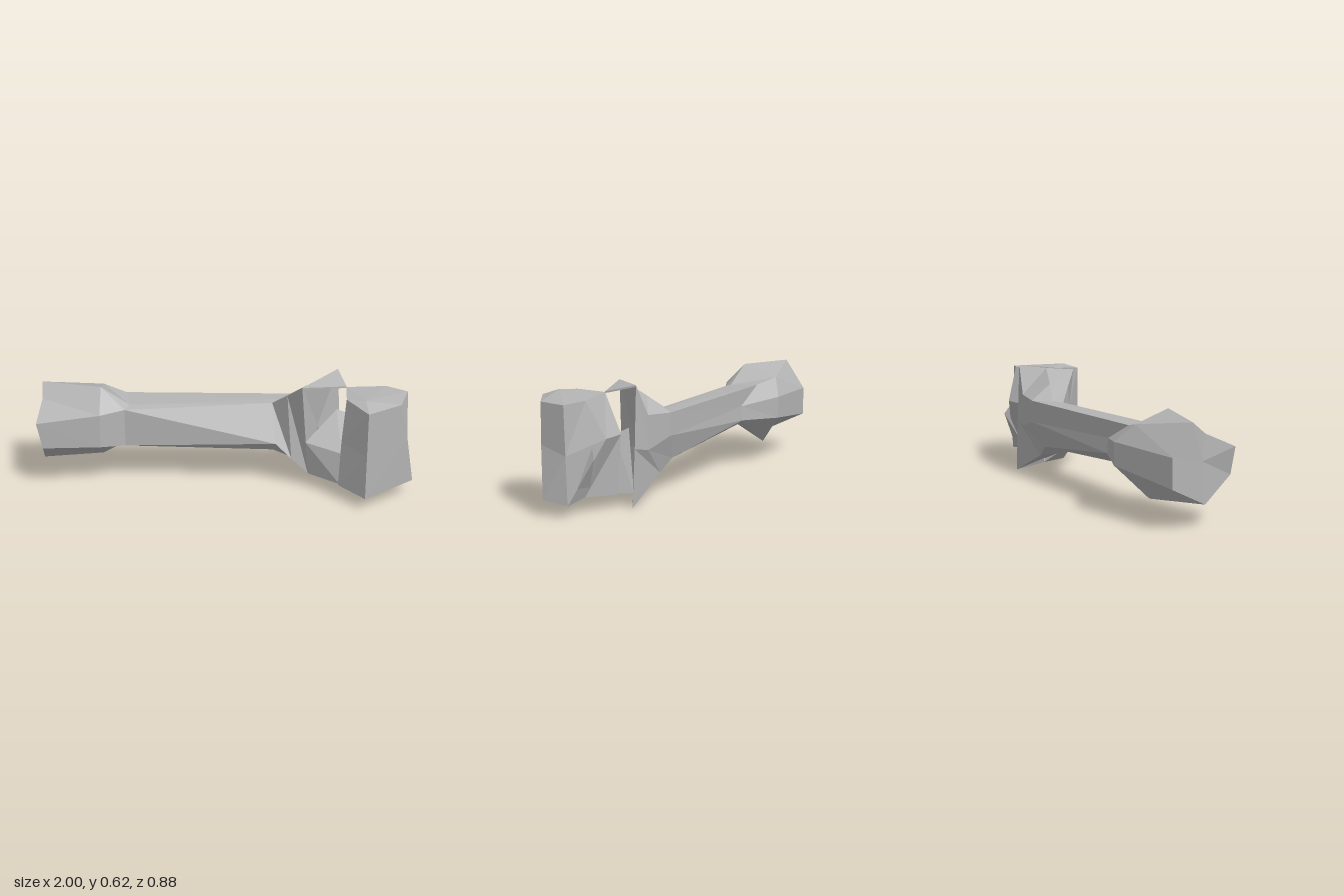
import * as THREE from 'three';

// Skin a list of equal-length rings; optional apex points close the two ends.
function loft(rings, startApex, endApex) {
  const pos = [];
  const tri = (a, b, c) => pos.push(...a, ...b, ...c);
  const centre = (r) => [0, 1, 2].map((k) => r.reduce((s, p) => s + p[k], 0) / r.length);
  const n = rings[0].length;
  const first = rings[0], last = rings[rings.length - 1];
  const start = startApex || centre(first), end = endApex || centre(last);
  for (let j = 0; j < n; j++) {
    const k = (j + 1) % n;
    for (let i = 0; i < rings.length - 1; i++) {
      const r = rings[i], s = rings[i + 1];
      tri(r[j], r[k], s[k]);
      tri(r[j], s[k], s[j]);
    }
    tri(first[k], first[j], start);
    tri(last[j], last[k], end);
  }
  const g = new THREE.BufferGeometry();
  g.setAttribute('position', new THREE.Float32BufferAttribute(pos, 3));
  g.computeVertexNormals();
  return g;
}

export function createModel() {
  const group = new THREE.Group();
  const grey = new THREE.MeshStandardMaterial({ color: 0xb4b4b4, flatShading: true, side: THREE.DoubleSide });
  grey.name = 'grey';
  const add = (name, ...args) => {
    const mesh = new THREE.Mesh(loft(...args), grey);
    mesh.name = name;
    group.add(mesh);
  };

  // Rings run: top back, top front, front upper, front lower, bottom, back lower, back upper
  const gripEnd = [[-0.95, 0.535, -0.325], [-0.955, 0.47, -0.24], [-1, 0.39, -0.07], [-0.97, 0.245, -0.07],
    [-0.96, 0.12, -0.24], [-0.93, 0.22, -0.44], [-0.93, 0.375, -0.44]];
  const gripMiddle = [[-0.61, 0.485, -0.37], [-0.64, 0.545, -0.17], [-0.66, 0.425, -0.05], [-0.66, 0.24, -0.05],
    [-0.63, 0.1, -0.29], [-0.51, 0.27, -0.42], [-0.51, 0.39, -0.42]];
  const shaftStart = [[-0.49, 0.455, -0.298], [-0.49, 0.445, -0.14], [-0.52, 0.43, -0.1], [-0.52, 0.22, -0.1],
    [-0.5, 0.215, -0.18], [-0.31, 0.28, -0.275], [-0.31, 0.36, -0.268]];
  const shaftEnd = [[0.43, 0.45, -0.15], [0.33, 0.45, -0.08], [0.285, 0.445, -0.045], [0.285, 0.25, 0.07],
    [0.28, 0.2, 0.03], [0.35, 0.195, -0.125], [0.43, 0.33, -0.15]];
  const collarMiddle = [[0.58, 0.46, -0.09], [0.43, 0.53, -0.017], [0.35, 0.52, 0.05], [0.37, 0.165, 0.09],
    [0.38, 0.137, -0.005], [0.43, 0.13, -0.09], [0.58, 0.28, -0.09]];
  const collarRim = [[0.65, 0.62, -0.055], [0.53, 0.605, 0.045], [0.41, 0.6, 0.145], [0.46, 0.08, 0.11],
    [0.47, 0.075, -0.03], [0.69, 0, -0.05], [0.67, 0.3, -0.055]];

  add('grip', [gripEnd, gripMiddle, shaftStart]);
  add('shaft', [shaftStart, shaftEnd]);
  // Flared collar with a hollow face
  add('collar', [shaftEnd, collarMiddle, collarRim], null, [0.53, 0.32, 0.01]);

  // Thin roof bridging from the collar to the head
  add('collarRoof', [0.009, 0].map((d) => [[0.41, 0.6 - d, 0.145], [0.66, 0.58 - d, 0.11], [0.65, 0.62 - d, -0.055]]));

  // Sloping web joining the collar to the head
  add('neck', [
    [[0.64, 0.4, -0.01], [0.44, 0.27, 0.12], [0.46, 0.08, 0.11], [0.65, 0.065, -0.04]],
    [[0.72, 0.38, 0.03], [0.61, 0.25, 0.25], [0.6, 0.08, 0.27], [0.73, 0.08, 0.04]],
  ]);

  // Upright faceted head, rings from bottom to top
  add('head', [
    [[0.7, 0.065, 0.44], [1, 0.085, 0.29], [0.98, 0.06, 0.165], [0.86, 0.08, 0.13], [0.72, 0.07, 0.02], [0.59, 0.08, 0.28]],
    [[0.7, 0.31, 0.44], [0.95, 0.35, 0.32], [0.985, 0.31, 0.17], [0.84, 0.38, 0.02], [0.71, 0.38, 0], [0.6, 0.33, 0.28]],
    [[0.7, 0.55, 0.44], [0.9, 0.553, 0.345], [0.98, 0.56, 0.18], [0.88, 0.57, 0.11], [0.66, 0.577, 0.11], [0.62, 0.575, 0.28]],
  ], null, [0.71, 0.585, 0.34]);

  // Small pointed fin on the back of the head
  add('fin', [[[0.95, 0.12, 0.14], [0.83, 0.1, 0.12], [0.88, 0.36, 0.08]]], null, [0.92, 0.29, 0.05]);

  return group;
}
